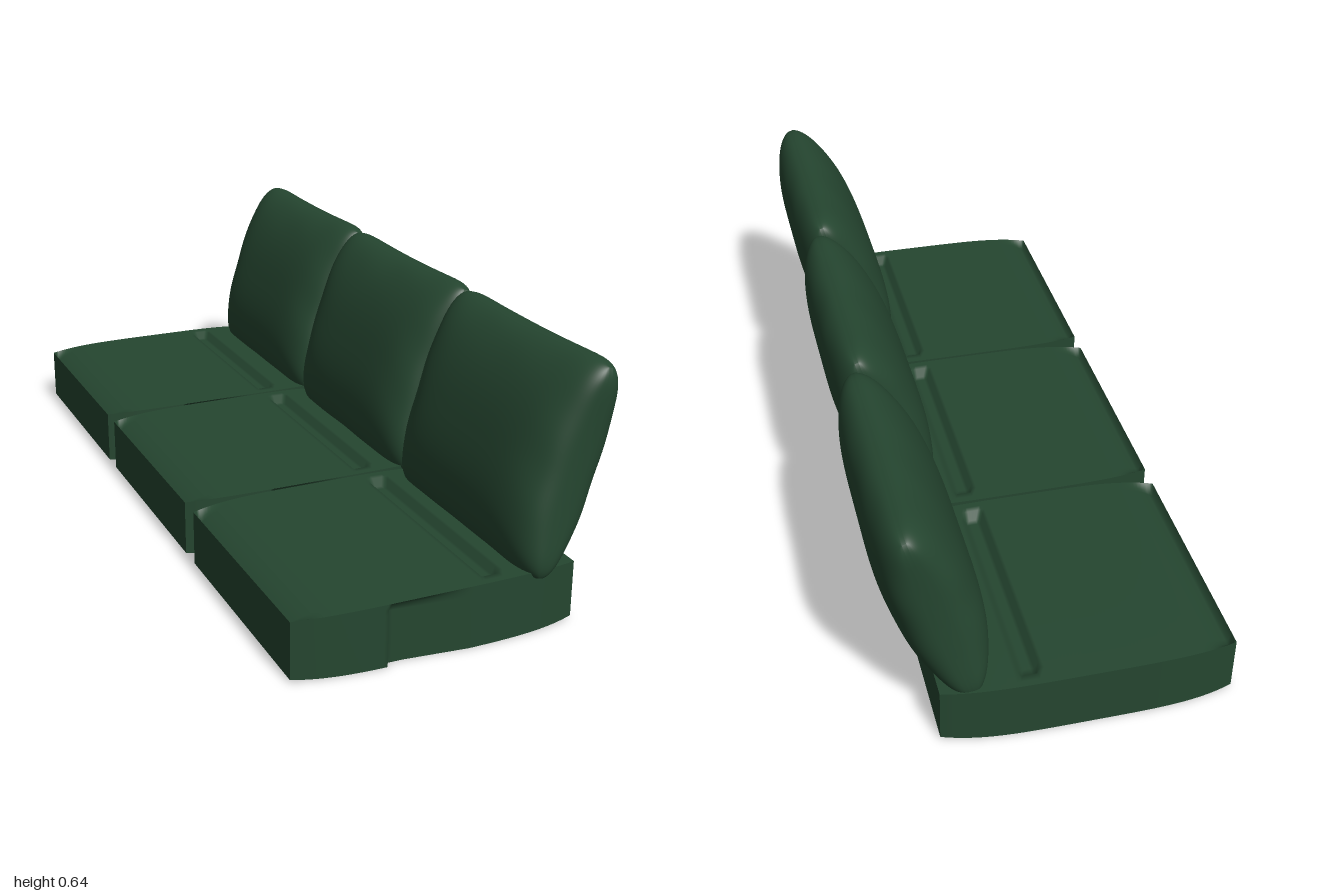
import * as THREE from 'three';

const fabric = new THREE.MeshStandardMaterial({ color: 0x254630 });
fabric.name = 'dark green fabric';

// Moves every vertex of a 2 x 2 x 2 box by a rule given in -1..1 coordinates
function shapeBox(segX, segY, segZ, rule) {
  const geo = new THREE.BoxGeometry(2, 2, 2, segX, segY, segZ);
  const pos = geo.attributes.position;
  for (let i = 0; i < pos.count; i++) {
    pos.setXYZ(i, ...rule(pos.getX(i), pos.getY(i), pos.getZ(i)));
  }
  geo.computeVertexNormals();
  return geo;
}

// Seat: boxed cushion with bowed ends, a rear groove and a raised front edge
function seatGeometry() {
  return shapeBox(80, 12, 40, (u, v, w) => {
    const x = -0.0725 + 0.3575 * u;
    const inside = Math.abs(w) < 0.88;
    let half = 0.0705 + 0.007 * (1 - u ** 4);
    // shallow valley just behind the front edge
    if (Math.abs(w) < 0.97 && u > -0.98) {
      half -= 0.025 * Math.max(0, 1 - (x + 0.43) / 0.09) ** 2;
    }
    // groove in front of the back cushion
    if (inside && v > 0.99 && x > 0.05 && x < 0.09) half -= 0.018;
    let z = w * (0.327 - 0.027 * u ** 4);
    // tuck in one end panel
    if (w > 0.99 && v < 0.9 && x > -0.2 && x < 0) z -= 0.02 * (-x / 0.2);
    return [x, 0.0795 + v * half, z];
  });
}

// Back: pillow with pinched sides, rounded corners and soft wrinkles
function pillowGeometry(seed) {
  return shapeBox(1, 56, 56, (s, p, q) => {
    const a = Math.sin(p * Math.PI / 2);
    const b = Math.sin(q * Math.PI / 2);
    const y = a * (0.27 - 0.008 * (1 - b * b)) * (1 - 0.06 * b ** 12);
    const z = b * (0.319 + 0.013 * a * a) * (1 - 0.05 * a ** 12);
    const puff = Math.max(0, 1 - Math.abs(a) ** 2.4) ** 0.52 * Math.max(0, 1 - Math.abs(b) ** 5) ** 0.4;
    const rim = Math.max(a * a, b * b) ** 3;
    const wrinkle = 0.05 * rim * Math.sin(9 * b + 3 * a + seed) * Math.sin(7 * a - 2 * b + seed);
    return [s * (0.005 + 0.102 * puff * (1 + wrinkle)), y, z];
  });
}

export function createModel() {
  const model = new THREE.Group();
  model.name = 'sofaCushions';
  const seat = seatGeometry();
  const names = ['Back', 'Middle', 'Front'];
  names.forEach((name, i) => {
    const seatMesh = new THREE.Mesh(seat, fabric);
    seatMesh.name = 'seatCushion' + name;
    seatMesh.position.z = -0.673 + 0.6625 * i;
    model.add(seatMesh);

    const pillow = new THREE.Mesh(pillowGeometry(i * 1.7), fabric);
    pillow.name = 'backCushion' + name;
    pillow.position.set(0.281 - 0.0155 * i, 0.376 + 0.0045 * i, -0.66 + 0.6635 * i);
    pillow.rotation.z = -0.3;
    model.add(pillow);
  });
  return model;
}
